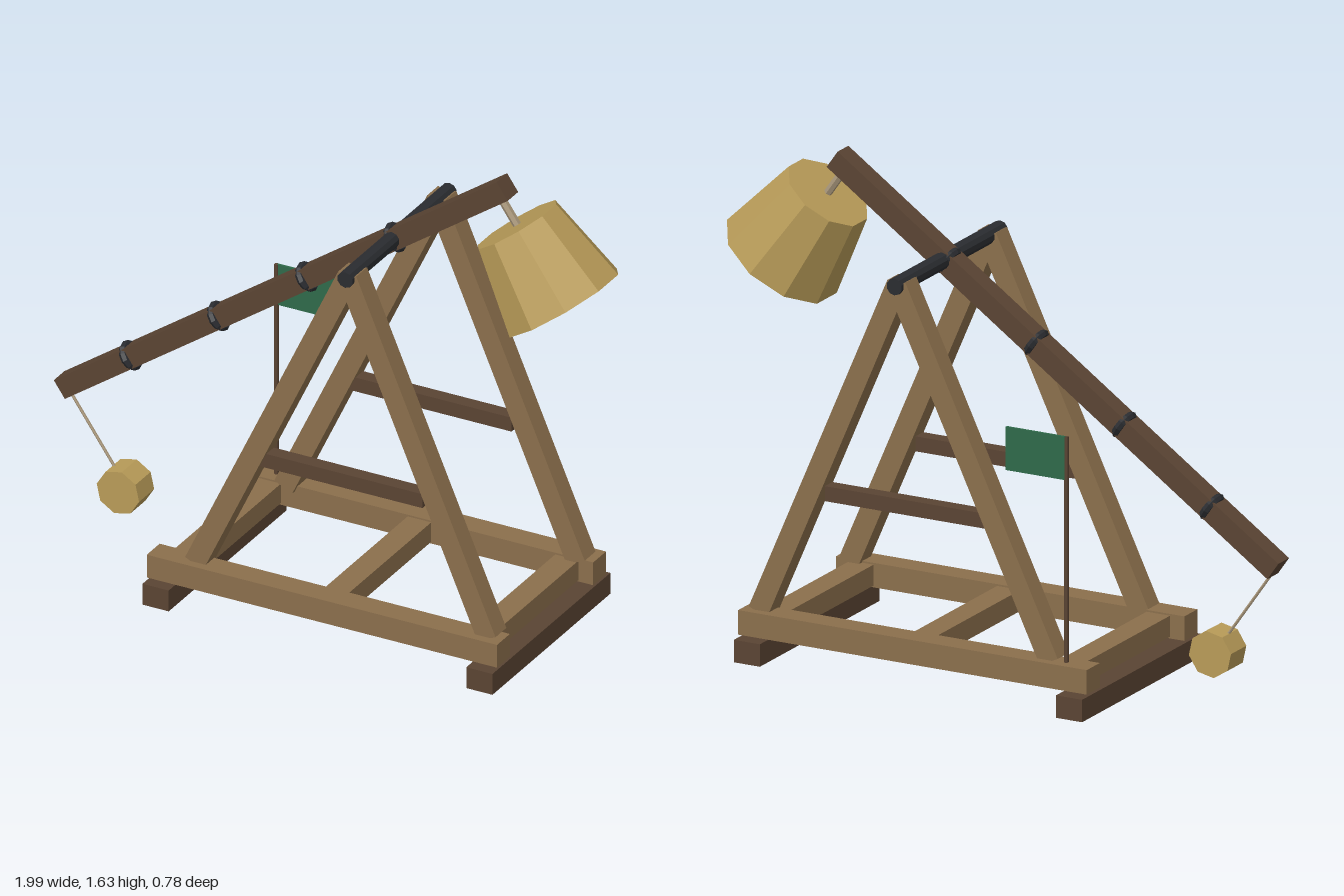
import * as THREE from 'three';

export function createModel() {
  const root = new THREE.Group();
  root.name = 'catapult';

  const mat = (name, color, flat = true) => {
    const m = new THREE.MeshStandardMaterial({ color, flatShading: flat });
    m.name = name;
    return m;
  };
  const wood = mat('light wood', 0x8b6f4c);
  const dark = mat('dark wood', 0x5a4433);
  const iron = mat('iron', 0x2a2c30);
  const straw = mat('straw yellow', 0xb89b58);
  const rope = mat('rope', 0xa8967a);
  const green = mat('flag green', 0x2f6a4a);

  const add = (parent, name, geo, material, x, y, z) => {
    const mesh = new THREE.Mesh(geo, material);
    mesh.name = name;
    mesh.position.set(x, y, z);
    parent.add(mesh);
    return mesh;
  };
  const box = (parent, name, material, w, h, d, x, y, z) =>
    add(parent, name, new THREE.BoxGeometry(w, h, d), material, x, y, z);

  // Base: two feet, two long rails, three cross beams
  for (const x of [-0.437, 0.737]) box(root, 'foot', dark, 0.095, 0.075, 0.78, x, 0.0375, 0);
  for (const s of [-1, 1]) box(root, 'baseRail', wood, 1.27, 0.082, 0.085, 0.15, 0.125, s * 0.318);
  for (const x of [-0.39, 0.155, 0.69]) box(root, 'crossBeam', wood, 0.085, 0.07, 0.56, x, 0.125, 0);

  // A-frames: slanted legs meeting at the axle, with a tie bar
  const apex = new THREE.Vector2(0.225, 1.33);
  for (const s of [-1, 1]) {
    const frame = new THREE.Group();
    frame.name = s > 0 ? 'frontFrame' : 'backFrame';
    frame.position.z = s * 0.295;
    root.add(frame);
    for (const footX of [-0.33, 0.73]) {
      const dx = apex.x - footX, dy = apex.y - 0.16;
      const leg = box(frame, 'leg', wood, 0.072, Math.hypot(dx, dy), 0.072,
        (apex.x + footX) / 2, (apex.y + 0.16) / 2, 0);
      leg.rotation.z = -Math.atan2(dx, dy);
    }
    box(frame, 'tieBar', dark, 0.59, 0.05, 0.05, 0.197, 0.59, 0);
  }

  // Axle
  add(root, 'axle', new THREE.CylinderGeometry(0.028, 0.028, 0.69, 10), iron, 0.225, 1.33, 0)
    .rotation.x = Math.PI / 2;

  // Throwing arm; everything attached to it shares its tilt
  const arm = new THREE.Group();
  arm.name = 'throwingArm';
  arm.position.set(-0.178, 1.044, 0);
  arm.rotation.z = THREE.MathUtils.degToRad(35);
  root.add(arm);
  box(arm, 'armBeam', dark, 1.96, 0.07, 0.07, 0, 0, 0);
  for (let i = 0; i < 4; i++) {
    add(arm, 'ironBand', new THREE.TorusGeometry(0.038, 0.014, 6, 12), iron, -0.685 + i * 0.39, 0, 0)
      .rotation.y = Math.PI / 2;
  }

  // Counterweight bucket and its hanger
  add(arm, 'hanger', new THREE.CylinderGeometry(0.014, 0.014, 0.11, 6), rope, 0.936, -0.085, 0);
  add(arm, 'counterweight', new THREE.CylinderGeometry(0.15, 0.21, 0.293, 10), straw, 0.936, -0.27, 0);

  // Sling rope and projectile
  add(arm, 'slingRope', new THREE.CylinderGeometry(0.005, 0.005, 0.3, 6), rope, -0.973, -0.175, 0);
  add(arm, 'projectile', new THREE.CylinderGeometry(0.078, 0.078, 0.1, 8), straw, -0.976, -0.379, 0)
    .rotation.x = Math.PI / 2;

  // Flag on the back rail
  add(root, 'flagPole', new THREE.CylinderGeometry(0.008, 0.008, 0.76, 6), dark, -0.388, 0.54, -0.32);
  box(root, 'flag', green, 0.215, 0.145, 0.008, -0.278, 0.848, -0.322);

  return root;
}
